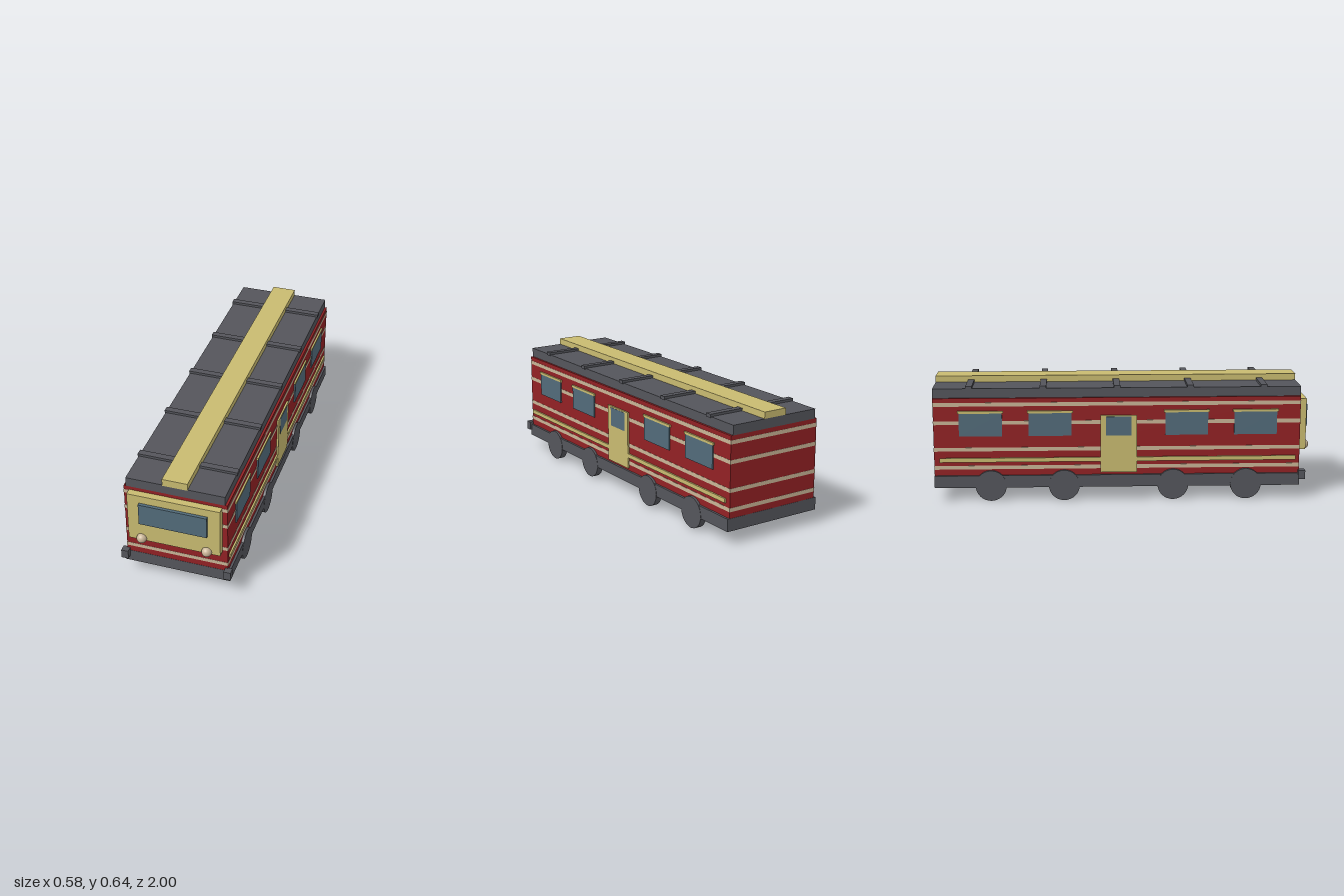
import * as THREE from 'three';

const paint = (name, color) => {
  const m = new THREE.MeshStandardMaterial({ color });
  m.name = name;
  return m;
};

export function createModel() {
  const red = paint('red', 0x922124);
  const gold = paint('gold', 0xc8ba70);
  const grey = paint('darkGrey', 0x54555b);
  const glass = paint('glass', 0x526b7a);
  const cream = paint('cream', 0xc8b496);
  const model = new THREE.Group();
  model.name = 'railCar';

  // Box given by its extents on each axis
  const box = (name, mat, [x0, x1], [y0, y1], [z0, z1]) => {
    const mesh = new THREE.Mesh(new THREE.BoxGeometry(x1 - x0, y1 - y0, z1 - z0), mat);
    mesh.position.set((x0 + x1) / 2, (y0 + y1) / 2, (z0 + z1) / 2);
    mesh.name = name;
    model.add(mesh);
    return mesh;
  };
  const back = -1, front = 0.937;
  const length = [back, front];

  // Main shell
  box('chassis', grey, [-0.277, 0.277], [0.072, 0.137], length);
  box('body', red, [-0.265, 0.265], [0.137, 0.552], [back + 0.001, front - 0.001]);
  box('roof', grey, [-0.253, 0.253], [0.552, 0.602], length);
  box('roofStrip', gold, [-0.065, 0.065], [0.597, 0.636], length);

  // Cream bands wrapping the body
  for (const y of [0.18, 0.278, 0.421, 0.519]) {
    box('band', cream, [-0.2662, 0.2662], [y - 0.01, y + 0.01], [back, front]);
  }

  // Roof ribs
  for (const z of [0.74, 0.352, -0.034, -0.422, -0.81]) {
    box('roofRib', grey, [-0.258, 0.258], [0.597, 0.615], [z - 0.017, z + 0.017]);
  }

  // Front panel and windscreen
  box('frontPanel', gold, [-0.238, 0.238], [0.257, 0.533], [front - 0.01, 0.972]);
  box('windscreen', glass, [-0.175, 0.175], [0.37, 0.49], [0.97, 0.988]);

  // Details mirrored on both sides
  for (const s of [-1, 1]) {
    const out = (a, b) => (s > 0 ? [a, b] : [-b, -a]);

    const lamp = new THREE.Mesh(new THREE.SphereGeometry(0.026, 24, 16), cream);
    lamp.position.set(s * 0.169, 0.27, 0.974);
    lamp.name = 'headlight';
    model.add(lamp);

    box('buffer', grey, out(0.251, 0.288), [0.105, 0.153], [0.93, 0.967]);
    box('sideTrim', gold, out(0.26, 0.274), [0.21, 0.232], [-0.97, 0.915]);

    for (const z of [0.698, 0.333, -0.387, -0.752]) {
      box('sideWindow', glass, out(0.26, 0.272), [0.35, 0.472], [z - 0.113, z + 0.113]);
      box('windowAwning', gold, out(0.26, 0.274), [0.472, 0.485], [z - 0.12, z + 0.12]);
    }

    box('door', gold, out(0.26, 0.2745), [0.15, 0.458], [-0.123, 0.07]);
    box('doorWindow', glass, out(0.27, 0.276), [0.35, 0.451], [-0.094, 0.04]);

    for (const z of [0.65, 0.262, -0.315, -0.702]) {
      const wheel = new THREE.Mesh(new THREE.CylinderGeometry(0.082, 0.082, 0.034, 32), grey);
      wheel.rotation.z = Math.PI / 2;
      wheel.position.set(s * 0.2615, 0.082, z);
      wheel.name = 'wheel';
      model.add(wheel);
    }
  }
  return model;
}
